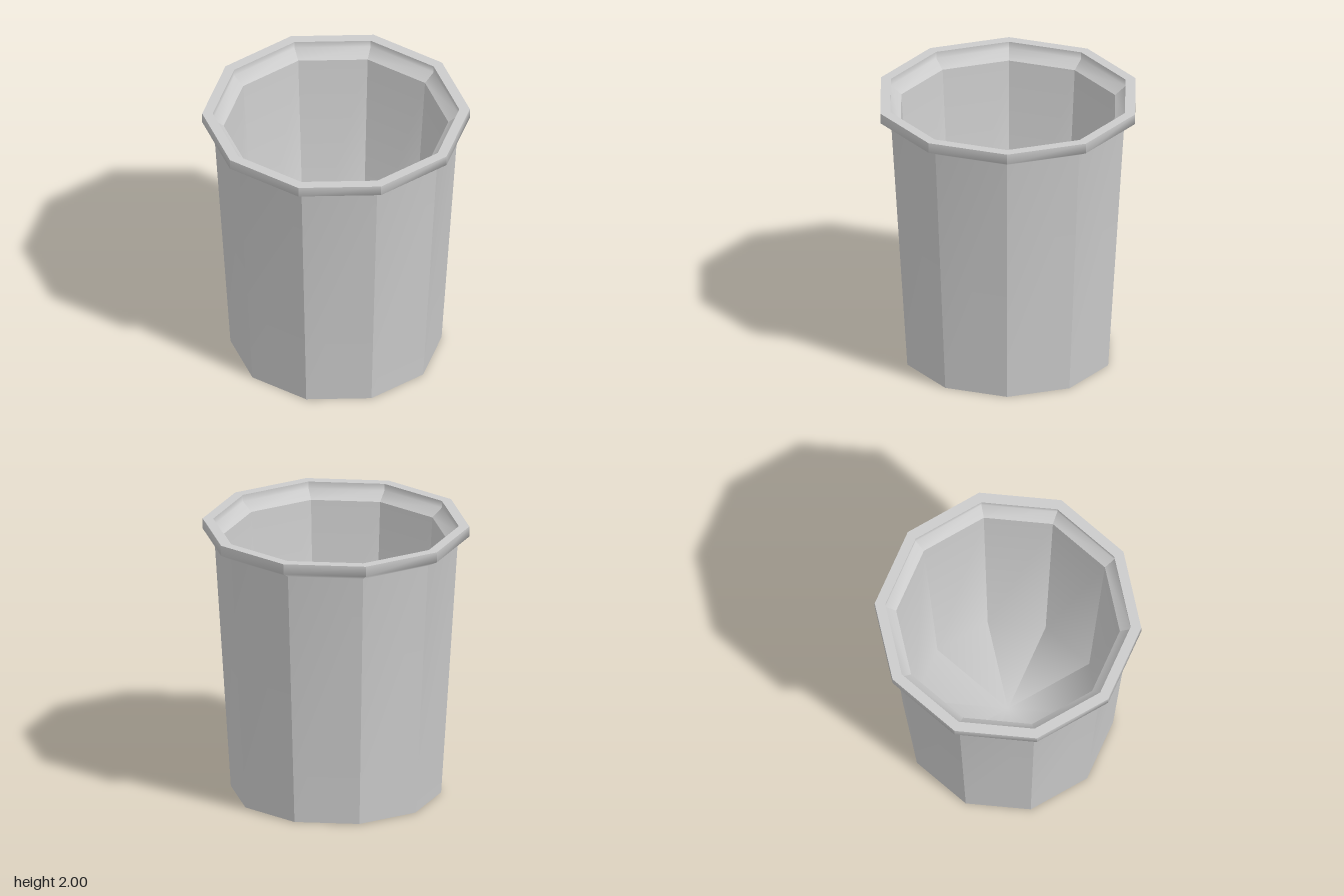
import * as THREE from 'three';

const SIDES = 10;

// Sweeps a [radius, height] profile around the ten sides: smooth along the profile, sharp between facets.
function facetedSweep(name, profile, material) {
  const positions = [];
  const index = [];
  for (let s = 0; s < SIDES; s++) {
    const base = positions.length / 3;
    for (const [r, y] of profile) {
      for (const k of [s, s + 1]) {
        const a = (k / SIDES) * Math.PI * 2;
        positions.push(r * Math.cos(a), y, r * Math.sin(a));
      }
    }
    for (let i = 0; i < profile.length - 1; i++) {
      const a = base + i * 2, b = a + 1, c = a + 2, d = a + 3;
      if (profile[i][0] > 0) index.push(a, c, b);
      if (profile[i + 1][0] > 0) index.push(b, c, d);
    }
  }
  const geometry = new THREE.BufferGeometry();
  geometry.setAttribute('position', new THREE.Float32BufferAttribute(positions, 3));
  geometry.setIndex(index);
  geometry.computeVertexNormals();
  const mesh = new THREE.Mesh(geometry, material);
  mesh.name = name;
  return mesh;
}

export function createModel() {
  const group = new THREE.Group();
  group.name = 'bin';
  const material = new THREE.MeshStandardMaterial({ color: 0xcccccc });

  // Profiles run from the underside, up the outside, over the rim and down the inside
  const parts = {
    underside: [[0, 0], [0.745, 0]],
    outerWall: [[0.745, 0], [0.863, 1.88], [0.945, 1.925], [0.945, 2]],
    rimTop: [[0.945, 2], [0.87, 2]],
    innerLip: [[0.87, 2], [0.87, 1.95], [0.793, 1.89]],
    innerWallAndFloor: [[0.793, 1.89], [0.665, 0.08], [0, 0.08]],
  };
  for (const [name, profile] of Object.entries(parts)) {
    group.add(facetedSweep(name, profile, material));
  }
  return group;
}
